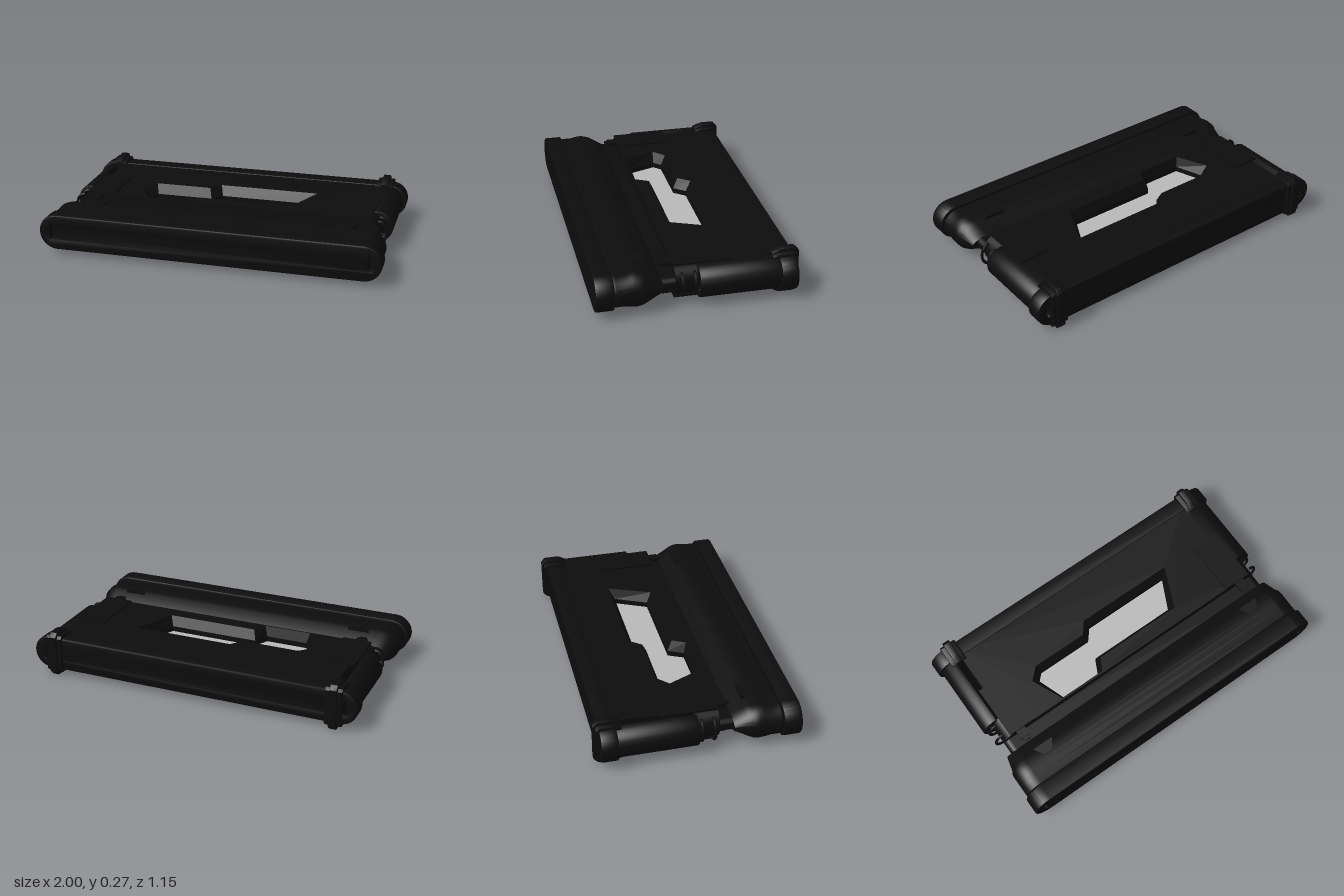
import * as THREE from 'three';
import { toCreasedNormals } from 'three/addons/utils/BufferGeometryUtils.js';

const black = new THREE.MeshStandardMaterial({ color: 0x0c0c0c });
black.name = 'casing black';
const grey = new THREE.MeshStandardMaterial({ color: 0xb8b8b8, side: THREE.DoubleSide });
grey.name = 'window grey';

// Slot outline (x, z) and the wider rim around it
const slot = [[-0.54, -0.07], [-0.497, -0.112], [-0.155, -0.112], [-0.1, -0.178], [0.447, -0.178],
  [0.356, 0.01], [-0.187, 0.01], [-0.23, 0.097], [-0.48, 0.097]];
const rim = [[-0.58, -0.075], [-0.51, -0.14], [-0.17, -0.14], [-0.115, -0.21], [0.485, -0.21],
  [0.378, 0.038], [-0.168, 0.038], [-0.21, 0.115], [-0.495, 0.115]];
const points = (list) => list.map(([x, y]) => new THREE.Vector2(x, y));

// Rounded-end cross-section; optionally pierced by a slim opening at each end
function stadium(hw, hh, open) {
  const s = new THREE.Shape();
  const c = hw - hh;
  s.absarc(c, 0, hh, -Math.PI / 2, Math.PI / 2, false);
  s.absarc(-c, 0, hh, Math.PI / 2, Math.PI * 1.5, false);
  s.closePath();
  if (open) {
    for (const side of [-1, 1]) {
      const hole = new THREE.Path();
      hole.absellipse(side * 0.928, 0, 0.009, 0.04, 0, Math.PI * 2, true);
      s.holes.push(hole);
    }
  }
  return s;
}

function extrude(shape, z0, z1, bevel = 0) {
  const g = new THREE.ExtrudeGeometry(shape, {
    depth: z1 - z0 - 2 * bevel, curveSegments: 14, bevelEnabled: bevel > 0,
    bevelSize: bevel, bevelThickness: bevel, bevelOffset: -bevel, bevelSegments: 2,
  });
  g.translate(0, 0, z0 + bevel);
  return toCreasedNormals(g, 0.6);
}

// Plan shape (x, z) given thickness from y0 to y1
function plate(shape, y0, y1, bevel = 0) {
  return extrude(shape, -y1, -y0, bevel).rotateX(Math.PI / 2);
}

// Stadium swept through sections of [z, half width, half height]
function swept(sections) {
  const n = sections.length - 1;
  const g = new THREE.ExtrudeGeometry(stadium(1, 0.1, true),
    { depth: n, steps: n, curveSegments: 14, bevelEnabled: false });
  const p = g.attributes.position;
  for (let i = 0; i < p.count; i++) {
    const [z, hw, hh] = sections[Math.round(p.getZ(i))];
    const x = p.getX(i), y = p.getY(i);
    const inHole = Math.abs(Math.abs(x) - 0.928) < 0.012 && Math.abs(y) < 0.045;
    p.setXYZ(i, inHole ? x : x + Math.sign(x) * (hw - 1), y * hh / 0.1, z);
  }
  g.computeVertexNormals();
  return toCreasedNormals(g, 0.5);
}

// Sloping wall between the rim and the slot, going down to the window
function slotWall() {
  const rings = [[rim, 0.094], [slot, 0.035], [slot, -0.035], [rim, -0.094]];
  const v = [];
  const n = slot.length;
  for (let r = 0; r < 3; r++) {
    for (let i = 0; i < n; i++) {
      const at = (k, j) => {
        const [list, y] = rings[k];
        const [x, z] = list[j % n];
        return [x, y, z];
      };
      const a = at(r, i), b = at(r, i + 1), c = at(r + 1, i + 1), d = at(r + 1, i);
      v.push(...a, ...d, ...b, ...b, ...d, ...c);
    }
  }
  const g = new THREE.BufferGeometry();
  g.setAttribute('position', new THREE.Float32BufferAttribute(v, 3));
  g.computeVertexNormals();
  return g;
}

// Half of the rounded side, pierced by the slim opening when wide enough
function sideShape(hw, hh, open) {
  const s = new THREE.Shape();
  s.moveTo(0.82, -hh);
  s.absarc(hw - hh, 0, hh, -Math.PI / 2, Math.PI / 2, false);
  s.lineTo(0.82, hh);
  s.closePath();
  if (open) {
    const hole = new THREE.Path();
    hole.absellipse(0.928, 0, 0.009, 0.04, 0, Math.PI * 2, true);
    s.holes.push(hole);
  }
  return s;
}

// Side profile of a corner clamp, running across x
function clampBand(width, h, z0, z1, cut) {
  const s = new THREE.Shape(points([[-z1, -h + cut], [-z1 + cut * 2, -h], [-z0 - cut, -h], [-z0, -h + cut],
    [-z0, h - cut], [-z0 - cut, h], [-z1 + cut * 2, h], [-z1, h - cut]]));
  return extrude(s, -width / 2, width / 2, 0.005).rotateY(Math.PI / 2);
}

export function createModel() {
  const model = new THREE.Group();
  model.name = 'flatCase';
  const body = new THREE.Group();
  body.name = 'body';
  body.position.y = 0.136;
  model.add(body);
  const add = (name, geometry, parent = body, material = black) => {
    const m = new THREE.Mesh(geometry, material);
    m.name = name;
    parent.add(m);
    return m;
  };

  // Front end: bar, bulged collar tapering to a neck
  add('frontBar', extrude(stadium(1, 0.105, true), 0.47, 0.573, 0.008));
  add('frontCollar', swept([[0.2, 0.95, 0.038], [0.285, 0.972, 0.092], [0.31, 0.985, 0.097], [0.34, 0.985, 0.104],
    [0.37, 0.985, 0.101], [0.41, 0.985, 0.092], [0.46, 0.985, 0.094], [0.472, 0.975, 0.086]]));
  add('neck', extrude(stadium(0.918, 0.038, false), 0.1, 0.22));

  // Main slab with the zigzag slot and its window
  const slab = new THREE.Shape(points([[-0.84, -0.5], [0.84, -0.5], [0.84, 0.125], [-0.84, 0.125]]));
  slab.holes.push(new THREE.Path(points(rim)));
  add('mainSlab', plate(slab, -0.094, 0.094));
  add('slotWall', slotWall());
  add('slotWindow', plate(new THREE.Shape(points(slot)), -0.003, 0.003), body, grey);

  // Rear bar
  add('rearBar', extrude(stadium(1, 0.1, true), -0.545, -0.45, 0.008));

  // Both sides; the second is the first turned half round the long axis
  for (const [name, turn] of [['left', 0], ['right', Math.PI]]) {
    const side = new THREE.Group();
    side.name = name + 'Side';
    side.rotation.z = turn;
    body.add(side);
    add('roundedSide', extrude(sideShape(0.98, 0.094, true), -0.47, 0, 0.006), side);
    add('insetSide', extrude(sideShape(0.918, 0.094, false), -0.006, 0.125), side);

    // Thin hoops standing out of the inset
    for (const z of [0.02, 0.09]) {
      const hoop = add('sideHoop', new THREE.TorusGeometry(0.05, 0.008, 8, 20, Math.PI), side);
      hoop.rotation.z = -Math.PI / 2;
      hoop.scale.set(1.3, 1, 1);
      hoop.position.set(0.905, 0, z);
    }

    // Corner clamp with its central ridge
    const clamp = new THREE.Group();
    clamp.name = 'rearClamp';
    clamp.position.x = 0.865;
    side.add(clamp);
    add('clampBand', clampBand(0.1, 0.115, -0.56, -0.42, 0.015), clamp);
    add('clampRidge', clampBand(0.045, 0.135, -0.573, -0.42, 0.024), clamp);

    // Matching details on the upper and lower faces
    for (const s of [1, -1]) {
      const raised = add('raisedPlate', new THREE.BoxGeometry(0.17, 0.012, 0.33), side);
      raised.position.set(0.785, s * 0.097, -0.04);
      const tongue = add('tongue', new THREE.BoxGeometry(0.06, 0.018, 0.06), side);
      tongue.position.set(0.8, s * 0.085, 0.15);
      const tip = add('tongueTip', new THREE.BoxGeometry(0.04, 0.01, 0.025), side);
      tip.position.set(0.8, s * 0.085, 0.188);
      const tab = new THREE.Shape(points([[0.68, 0.275], [0.81, 0.275], [0.775, 0.335], [0.715, 0.335]]));
      add('collarTab', plate(tab, s * 0.095 - 0.009, s * 0.095 + 0.009), side);
    }
  }
  return model;
}
